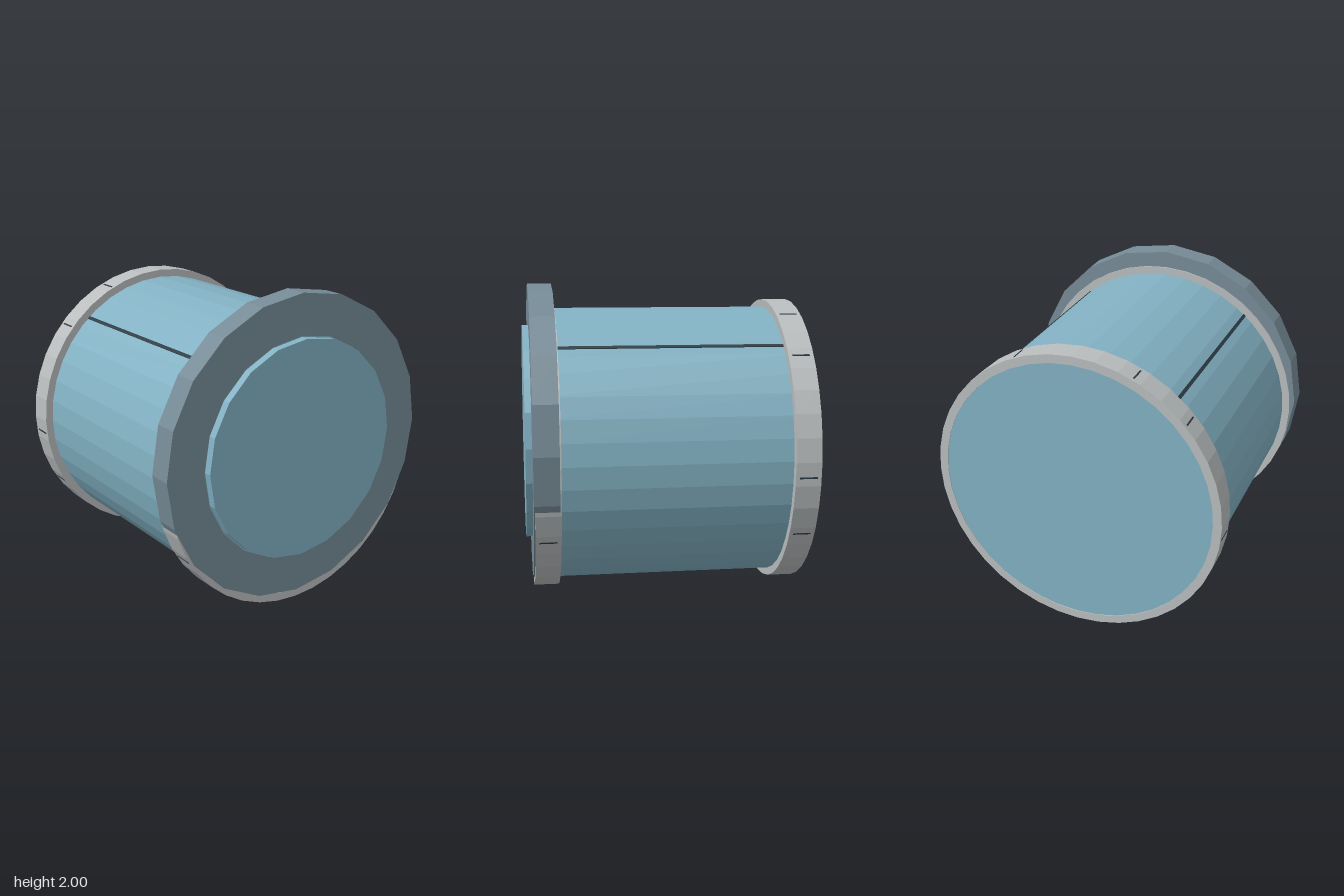
import * as THREE from 'three';

const AXIS_Y = 0.945;  // height of the drum axis
const PLATE_Y = 1.025; // height of the end plate axis

const mat = (name, color) => {
  const m = new THREE.MeshStandardMaterial({ color });
  m.name = name;
  return m;
};

// Regular polygon in the plane, used for outlines and holes
function polygon(radius, sides) {
  return Array.from({ length: sides }, (_, i) => {
    const a = (i / sides) * Math.PI * 2;
    return new THREE.Vector2(Math.cos(a) * radius, Math.sin(a) * radius);
  });
}

// Faceted disc, or ring when inner > 0, running along x from x0 to x1
function disc(name, material, outer, inner, sides, x0, x1, y) {
  const shape = new THREE.Shape(polygon(outer, sides));
  if (inner > 0) shape.holes.push(new THREE.Path(polygon(inner, sides)));
  const geo = new THREE.ExtrudeGeometry(shape, { depth: x1 - x0, bevelEnabled: false });
  geo.rotateY(Math.PI / 2);
  const mesh = new THREE.Mesh(geo, material);
  mesh.name = name;
  mesh.position.set(x0, y, 0);
  return mesh;
}

// Thin strip lying on the drum at an angle measured up from the front
function strip(name, material, length, width, x, radius, degrees) {
  const a = THREE.MathUtils.degToRad(degrees);
  const mesh = new THREE.Mesh(new THREE.BoxGeometry(length, width, 0.008), material);
  mesh.name = name;
  mesh.position.set(x, AXIS_Y + Math.sin(a) * radius, Math.cos(a) * radius);
  mesh.rotation.x = -a;
  return mesh;
}

export function createModel() {
  const blue = mat('drum blue', 0x82b1c3);
  const grey = mat('band grey', 0xb9bdbe);
  const slate = mat('plate slate', 0x768b97);
  const dark = mat('groove dark', 0x2c3c44);

  const model = new THREE.Group();
  model.name = 'drum';

  // Main drum and the two grey bands around its ends
  model.add(
    disc('drumBody', blue, 0.895, 0, 40, -0.885, 0.833, AXIS_Y),
    disc('bandRight', grey, 0.945, 0.89, 40, -0.89, -0.73, AXIS_Y),
    disc('bandLeft', grey, 0.945, 0.89, 40, 0.68, 0.838, AXIS_Y)
  );

  // Raised end plate with a round cap in its opening
  model.add(
    disc('endPlate', slate, 0.975, 0.715, 20, 0.69, 0.845, PLATE_Y),
    disc('endCap', blue, 0.704, 0, 20, 0.8, 0.885, PLATE_Y)
  );

  // Long grooves along the upper drum, front and back
  for (const a of [49.5, 130.5]) {
    model.add(strip('groove', dark, 1.41, 0.022, -0.025, 0.8925, a));
  }

  // Short marks around the bands, mirrored front to back
  for (const a of [66.3, 41.8, -5.8, -30.2, -76]) {
    for (const angle of [a, 180 - a]) {
      model.add(strip('bandRightMark', dark, 0.11, 0.01, -0.81, 0.941, angle));
      if (a < -20) model.add(strip('bandLeftMark', dark, 0.11, 0.01, 0.76, 0.941, angle));
    }
  }
  return model;
}
